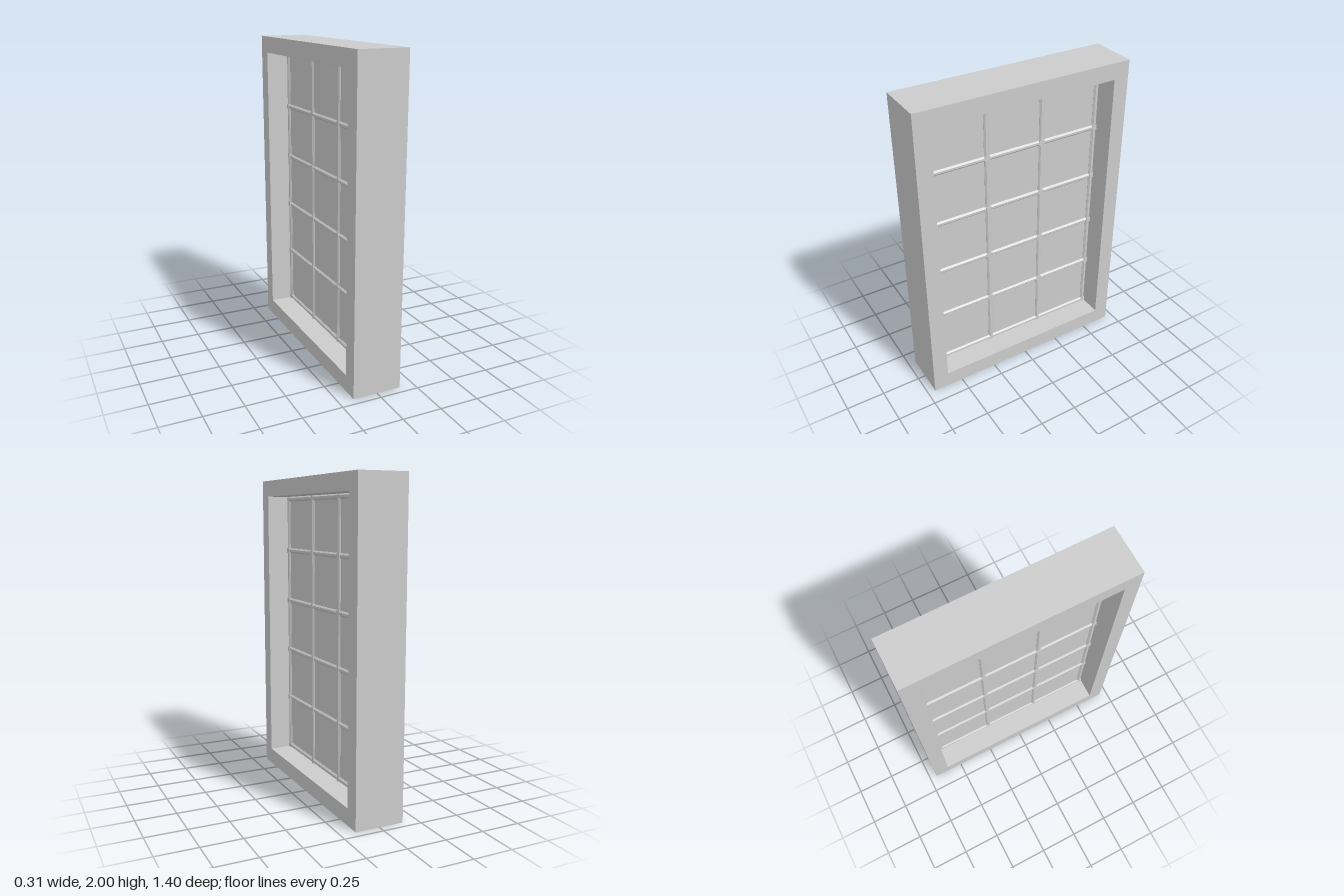
import * as THREE from 'three';

const HALF_DEPTH = 0.155;
const BAR = 0.0165; // half width of a glazing bar

export function createModel() {
  const model = new THREE.Group();
  model.name = 'window';
  const material = new THREE.MeshStandardMaterial({ color: 0xcccccc, flatShading: true });

  const add = (name, geometry, parent = model) => {
    const mesh = new THREE.Mesh(geometry, material);
    mesh.name = name;
    parent.add(mesh);
    return mesh;
  };
  const rect = (target, halfWidth, bottom, top) => target
    .moveTo(-halfWidth, bottom).lineTo(halfWidth, bottom)
    .lineTo(halfWidth, top).lineTo(-halfWidth, top).closePath();

  // Deep outer casing with a rectangular opening
  const outline = rect(new THREE.Shape(), 0.7, 0, 2);
  outline.holes.push(rect(new THREE.Path(), 0.6, 0.105, 1.895));
  const casing = new THREE.ExtrudeGeometry(outline, { depth: HALF_DEPTH * 2, bevelEnabled: false });
  casing.translate(0, 0, -HALF_DEPTH).rotateY(Math.PI / 2);
  add('casing', casing);

  // Thin pane in the middle of the depth
  add('pane', new THREE.BoxGeometry(0.01, 1.79, 1.2)).position.y = 1;

  // Octagonal glazing bars, flat side towards the viewer
  const bars = new THREE.Group();
  bars.name = 'glazingBars';
  model.add(bars);
  const barGeometry = (length) =>
    new THREE.CylinderGeometry(BAR / Math.cos(Math.PI / 8), BAR / Math.cos(Math.PI / 8), length, 8)
      .rotateY(Math.PI / 8);
  const columns = [-0.584, -0.19, 0.19, 0.584];
  const rows = [0.121, 0.481, 0.83, 1.179, 1.528, 1.879];

  for (const z of columns) add('verticalBar', barGeometry(1.79), bars).position.set(0, 1, z);
  for (const y of rows) {
    add('horizontalBar', barGeometry(1.2).rotateX(Math.PI / 2), bars).position.set(0, y, 0);
  }

  // Small blocks where the bars cross
  for (const y of rows.slice(1, -1)) {
    for (const z of columns) {
      const size = Math.abs(z) > 0.5 ? 0.03 : 0.036;
      add('crossingBlock', new THREE.BoxGeometry(0.038, 0.032, size), bars).position.set(0, y, z);
    }
  }
  return model;
}
